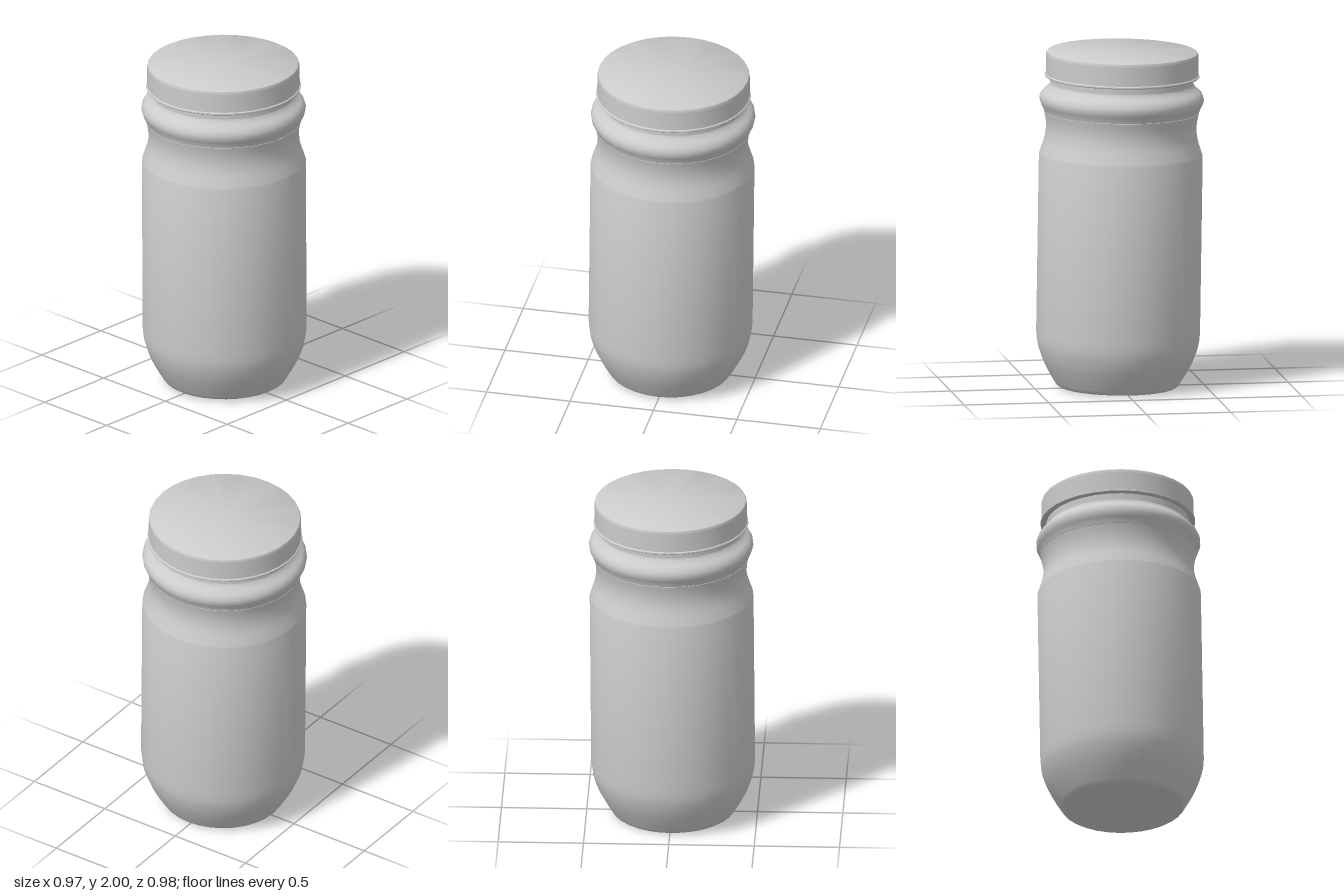
import * as THREE from 'three';
import { toCreasedNormals } from 'three/addons/utils/BufferGeometryUtils.js';

const SIDES = 32;
const material = new THREE.MeshStandardMaterial({ color: 0xcccccc });

// Revolve a bottom-to-top [radius, height] profile, keeping sharp edges sharp
function turned(name, profile) {
  const points = profile.map(([r, y]) => new THREE.Vector2(r, y));
  const geometry = toCreasedNormals(new THREE.LatheGeometry(points, SIDES), Math.PI / 5);
  const mesh = new THREE.Mesh(geometry, material);
  mesh.name = name;
  return mesh;
}

// Smooth run of profile points through a few control points
function smooth(controls, steps) {
  const curve = new THREE.CatmullRomCurve3(controls.map(([r, y]) => new THREE.Vector3(r, y, 0)), false, 'centripetal');
  return curve.getPoints(steps).map((p) => [p.x, p.y]);
}

export function createModel() {
  const jar = new THREE.Group();
  jar.name = 'jar';

  // Body: flat base, rounded heel, straight wall, waisted shoulder
  jar.add(turned('body', [
    [0, 0], [0.345, 0],
    ...smooth([[0.36, 0.01], [0.405, 0.085], [0.445, 0.165], [0.472, 0.25], [0.48, 0.32]], 16),
    ...smooth([[0.48, 1.375], [0.465, 1.42], [0.447, 1.48], [0.441, 1.54], [0.446, 1.59], [0.455, 1.63]], 16),
    [0.42, 1.632],
  ]));

  // Rounded bead around the neck
  jar.add(turned('neckBead', [
    [0.42, 1.632], [0.455, 1.632],
    ...smooth([[0.463, 1.655], [0.478, 1.685], [0.481, 1.715], [0.468, 1.745], [0.44, 1.77], [0.422, 1.79]], 14),
    [0.42, 1.80],
  ]));

  // Plain neck running up inside the lid
  jar.add(turned('neck', [[0.42, 1.79], [0.42, 1.95], [0, 1.95]]));

  // Lid: rolled lower lip, straight skirt, softened top edge
  jar.add(turned('lid', [
    [0.42, 1.838], [0.449, 1.836], [0.454, 1.84], [0.454, 1.847], [0.447, 1.852],
    [0.446, 1.96], [0.446, 1.972], [0.442, 1.982], [0.434, 1.987], [0, 1.987],
  ]));

  // The whole jar leans very slightly
  jar.rotation.set(-0.014, 0, -0.008);
  jar.position.set(-0.008, 0.006, 0.012);

  const model = new THREE.Group();
  model.add(jar);
  return model;
}
